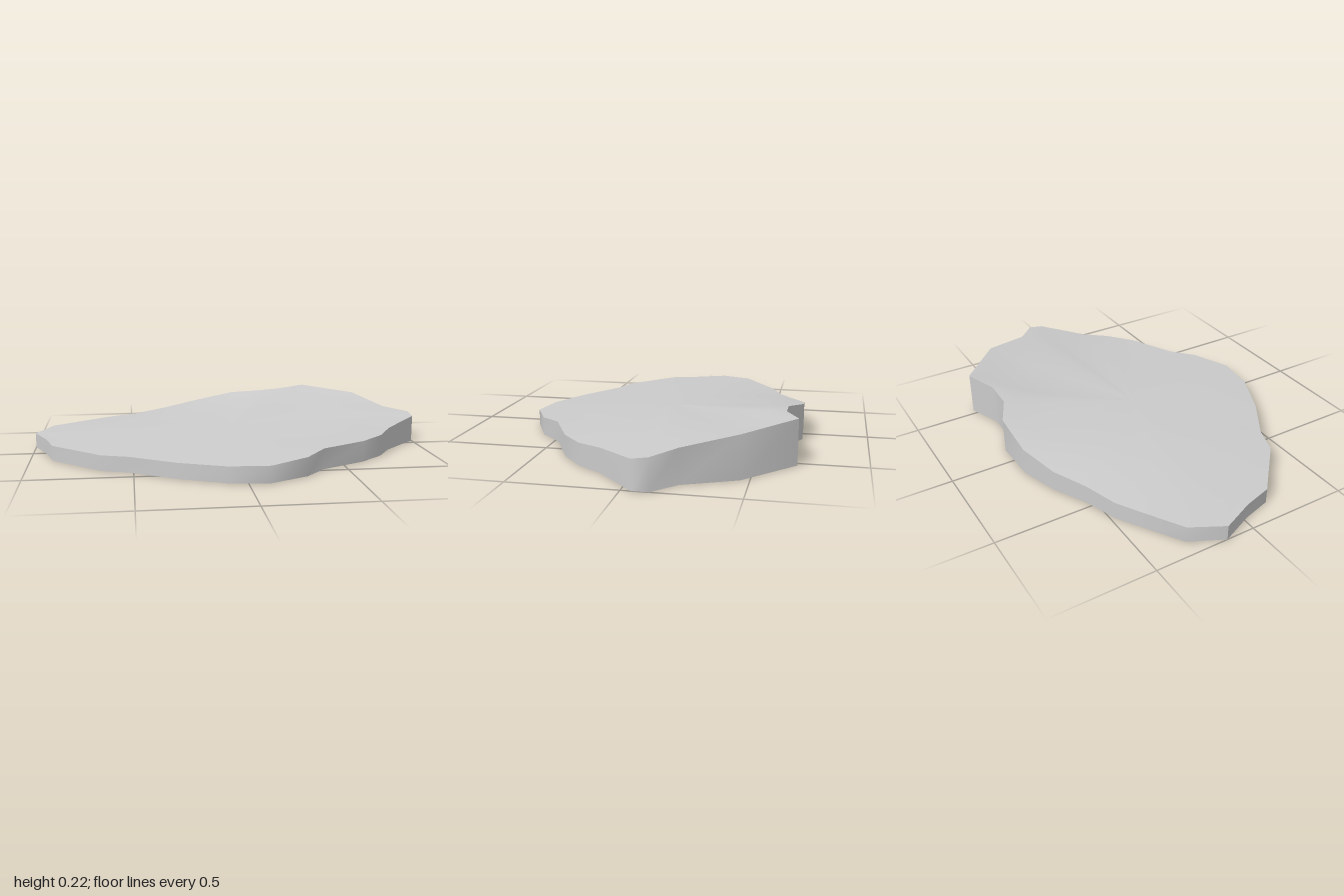
import * as THREE from 'three';
import { toCreasedNormals } from 'three/addons/utils/BufferGeometryUtils.js';

// Rim of the slab, clockwise from above: x, z, height
const rim = [
  [-1, -0.14, 0.075], [-0.92, -0.3, 0.08], [-0.76, -0.4, 0.083], [-0.63, -0.48, 0.086],
  [-0.47, -0.535, 0.092], [-0.31, -0.62, 0.105], [-0.12, -0.68, 0.135], [0.1, -0.685, 0.178],
  [0.23, -0.62, 0.195], [0.37, -0.62, 0.205], [0.53, -0.683, 0.215], [0.78, -0.46, 0.2],
  [0.89, -0.22, 0.16], [1, -0.12, 0.147], [1, -0.045, 0.136], [0.81, 0.14, 0.115],
  [0.73, 0.26, 0.106], [0.61, 0.365, 0.103], [0.385, 0.48, 0.1], [0.285, 0.59, 0.09],
  [0.1, 0.683, 0.08], [-0.09, 0.66, 0.077], [-0.31, 0.56, 0.075], [-0.52, 0.425, 0.075],
  [-0.65, 0.38, 0.075], [-0.77, 0.27, 0.075], [-0.89, 0.16, 0.075], [-0.93, 0.02, 0.075],
];
const n = rim.length;
const RINGS = 8;

// Inner height: a smooth membrane stretched over the rim, slightly domed
function topHeight(t, i) {
  if (t === 1) return rim[i][2];
  let sum = 0, total = 0;
  for (let j = 0; j < n; j++) {
    const w = 1 / (1 - 2 * t * Math.cos((i - j) / n * Math.PI * 2) + t * t);
    sum += w * rim[j][2];
    total += w;
  }
  return sum / total + 0.01 * (1 - t * t);
}

export function createModel() {
  const positions = [], index = [];

  // Rings from the middle of the top out to the rim, down the wall, and in under the base
  for (let r = 0; r <= RINGS + 2; r++) {
    const t = r <= RINGS ? r / RINGS : r === RINGS + 1 ? 1 : 0;
    for (let i = 0; i < n; i++) {
      positions.push(rim[i][0] * t, r <= RINGS ? topHeight(t, i) : 0, rim[i][1] * t);
    }
  }
  for (let r = 0; r < RINGS + 2; r++) {
    for (let i = 0; i < n; i++) {
      const k = (i + 1) % n;
      const a = r * n + i, b = r * n + k, c = a + n, d = b + n;
      if (r < RINGS + 1) index.push(a, d, c);
      if (r > 0) index.push(a, b, d);
    }
  }

  const geometry = new THREE.BufferGeometry();
  geometry.setAttribute('position', new THREE.Float32BufferAttribute(positions, 3));
  geometry.setIndex(index);

  const slab = new THREE.Mesh(
    toCreasedNormals(geometry, THREE.MathUtils.degToRad(50)),
    new THREE.MeshStandardMaterial({ color: 0xcccccc })
  );
  slab.name = 'rockSlab';

  const group = new THREE.Group();
  group.name = 'flatRock';
  group.add(slab);
  return group;
}
